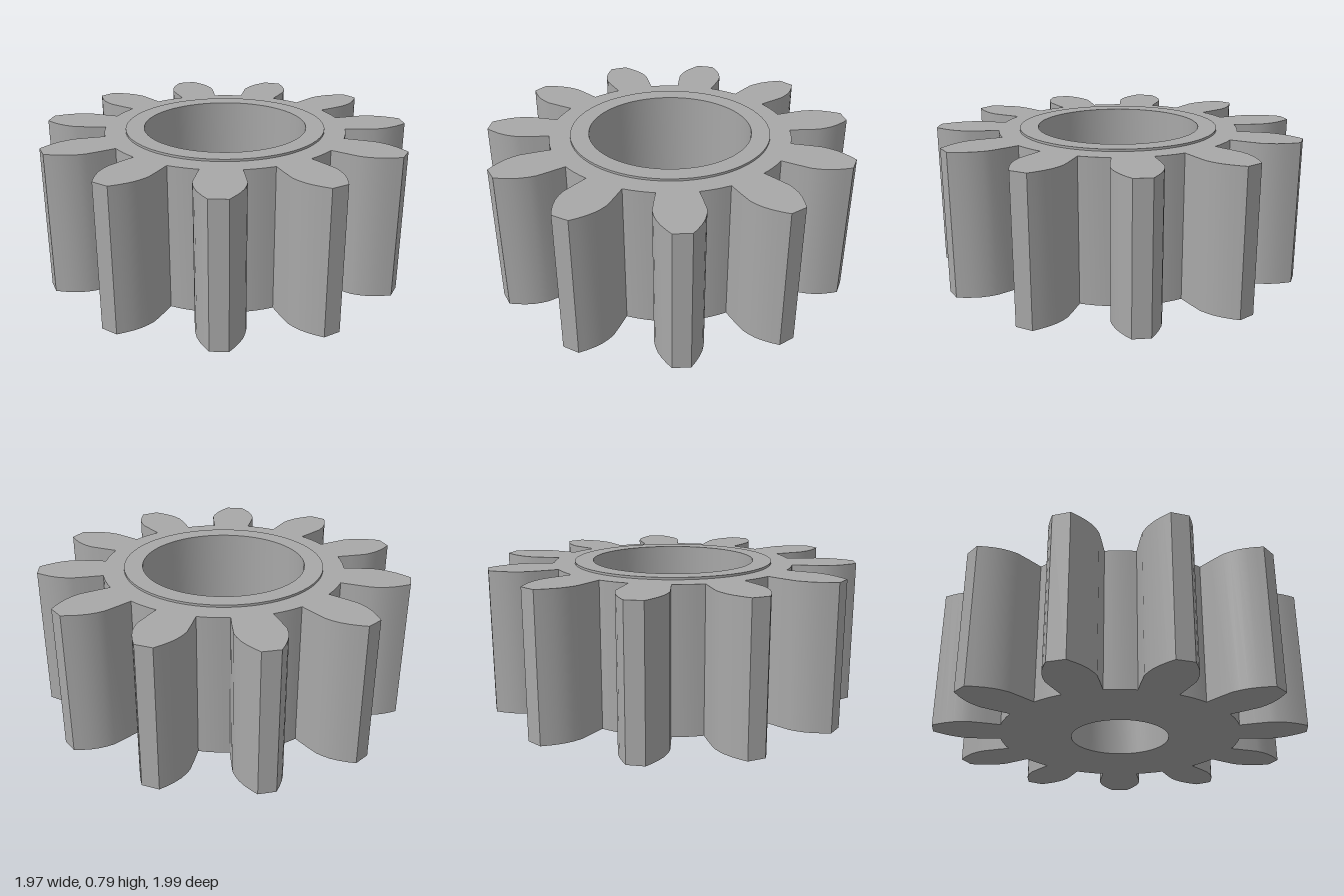
import * as THREE from 'three';
import { toCreasedNormals } from 'three/addons/utils/BufferGeometryUtils.js';

const TEETH = 11;
const HEIGHT = 0.775, BORE = 0.44, SHAFT = 0.265, FLOOR = 0.3;

// Half of one tooth, root to tip: [distance from axis, half width]
const FLANK = [
  [0.645, 0.104], [0.725, 0.116], [0.805, 0.126], [0.845, 0.121],
  [0.885, 0.111], [0.925, 0.094], [0.965, 0.071], [1.0, 0.047],
];

function gearShape() {
  const points = [];
  const add = (x, y, a) => points.push(new THREE.Vector2(
    x * Math.cos(a) - y * Math.sin(a), x * Math.sin(a) + y * Math.cos(a)));
  const step = (Math.PI * 2) / TEETH;
  const [rx, ry] = FLANK[0];
  const rootRadius = Math.hypot(rx, ry), rootAngle = Math.atan2(ry, rx);
  for (let i = 0; i < TEETH; i++) {
    const a = i * step;
    FLANK.forEach(([x, w]) => add(x, -w, a));
    [...FLANK].reverse().forEach(([x, w]) => add(x, w, a));
    // Arc along the root to the next tooth
    for (let k = 1; k < 4; k++) {
      add(rootRadius, 0, a + rootAngle + (step - 2 * rootAngle) * k / 4);
    }
  }
  const shape = new THREE.Shape(points);
  shape.holes.push(new THREE.Path().absarc(0, 0, BORE, 0, Math.PI * 2, true));
  return shape;
}

function lathe(profile) {
  const geometry = new THREE.LatheGeometry(profile.map(([r, y]) => new THREE.Vector2(r, y)), 64);
  return toCreasedNormals(geometry, 0.5);
}

export function createModel() {
  const steel = new THREE.MeshStandardMaterial({ color: 0xa8a8a8 });
  steel.name = 'grey steel';
  const gear = new THREE.Group();
  gear.name = 'gear';
  const add = (name, geometry) => {
    const mesh = new THREE.Mesh(geometry, steel);
    mesh.name = name;
    gear.add(mesh);
  };

  // Toothed body with the wide bore
  const body = new THREE.ExtrudeGeometry(gearShape(),
    { depth: HEIGHT, bevelEnabled: false, curveSegments: 32 });
  body.rotateX(-Math.PI / 2);
  add('toothedBody', toCreasedNormals(body, 0.4));

  // Web that narrows the lower bore to the shaft hole
  add('shaftWeb', lathe([[BORE, FLOOR], [SHAFT, FLOOR], [SHAFT, 0], [BORE, 0]]));

  // Thin raised collar around the bore
  add('collar', lathe([[0.54, HEIGHT], [0.54, 0.787], [BORE, 0.787], [BORE, HEIGHT]]));

  gear.position.x = -0.015;
  const model = new THREE.Group();
  model.name = 'pinionGear';
  model.add(gear);
  return model;
}
